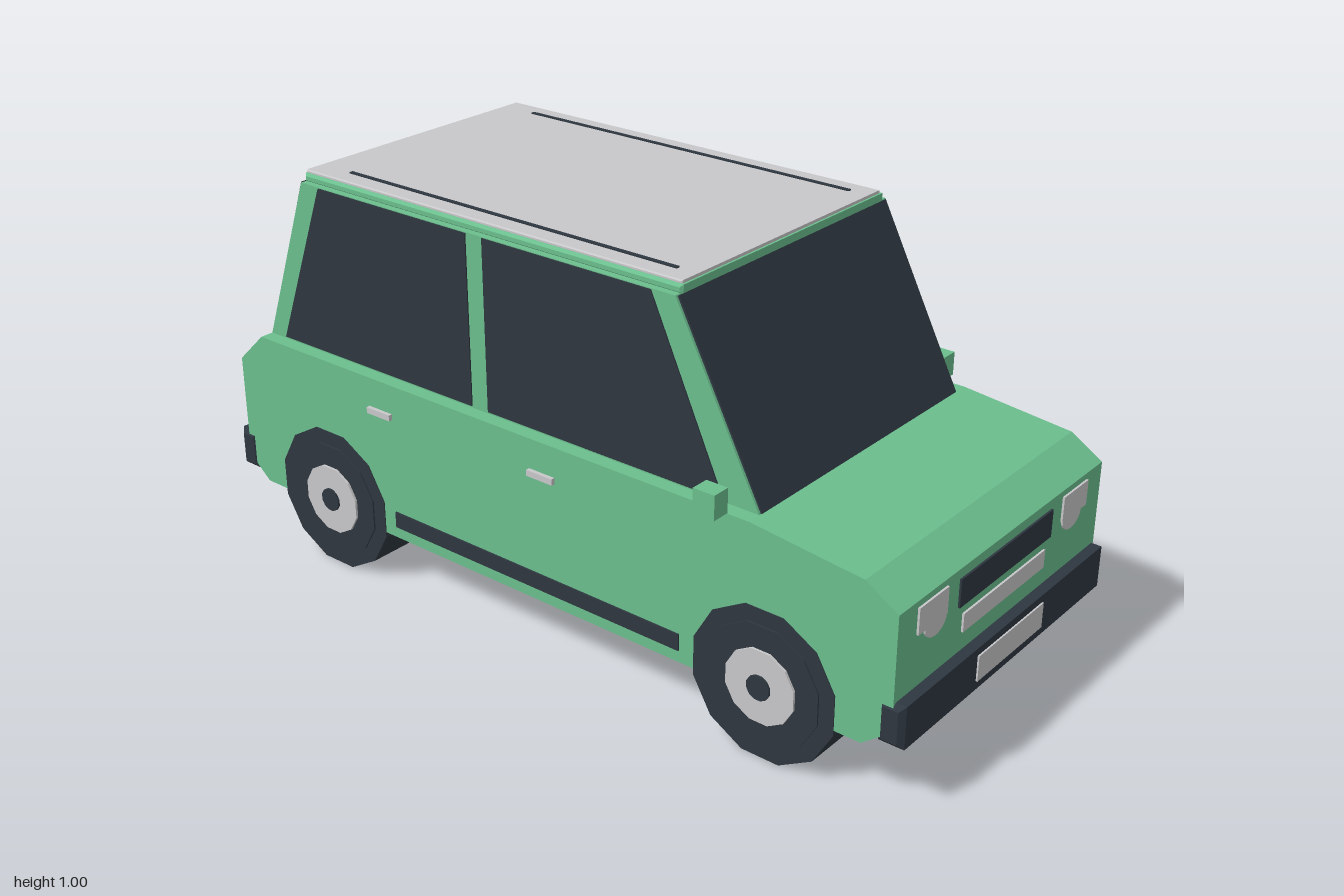
import * as THREE from 'three';

const material = (name, color) => {
  const m = new THREE.MeshStandardMaterial({ color, flatShading: true });
  m.name = name;
  return m;
};

export function createModel() {
  const car = new THREE.Group();
  car.name = 'car';
  const green = material('green paint', 0x6cbf8e);
  const dark = material('charcoal', 0x2e3740);
  const silver = material('light grey', 0xc8c8ca);
  const red = material('red lens', 0xb83a3a);

  const add = (name, geometry, mat, x = 0, y = 0, z = 0) => {
    const mesh = new THREE.Mesh(geometry, mat);
    mesh.name = name;
    mesh.position.set(x, y, z);
    car.add(mesh);
    return mesh;
  };
  const shapeOf = (pts) => new THREE.Shape(pts.map(([a, b]) => new THREE.Vector2(a, b)));
  // Side profile given as [z, y], extruded across x and centred; bevel stays inside the width
  const across = (pts, width, bevel = 0) => {
    const g = new THREE.ExtrudeGeometry(shapeOf(pts), {
      depth: width - 2 * bevel, bevelEnabled: bevel > 0, bevelSize: bevel,
      bevelThickness: bevel, bevelOffset: -bevel, bevelSegments: 1,
    });
    return g.translate(0, 0, bevel - width / 2).rotateY(-Math.PI / 2);
  };
  const slab = (z0, z1, y0, y1, width, bevel) =>
    across([[z0, y0], [z1, y0], [z1, y1], [z0, y1]], width, bevel);
  // Box from its limits
  const box = (name, mat, x0, x1, y0, y1, z0, z1) =>
    add(name, new THREE.BoxGeometry(x1 - x0, y1 - y0, z1 - z0), mat,
      (x0 + x1) / 2, (y0 + y1) / 2, (z0 + z1) / 2);

  // Lower body and cabin
  add('body', across([[-0.9, 0.145], [0.9, 0.145], [0.97, 0.2], [0.97, 0.47], [0.89, 0.52],
    [0.61, 0.55], [-0.88, 0.55], [-0.965, 0.47], [-0.965, 0.2]], 0.84), green);
  add('cabin', across([[-0.88, 0.55], [0.61, 0.55], [0.39, 0.972], [-0.725, 0.972]], 0.77), green);

  // Roof with light panel and rails
  add('roof', slab(-0.73, 0.395, 0.968, 0.99, 0.74, 0.006), green);
  add('roofPanel', slab(-0.73, 0.39, 0.985, 0.997, 0.724, 0.003), silver);

  // Windscreen and rear window lie on the sloping ends of the cabin
  const endWindow = (name, zLow, zHigh) => {
    const rise = 0.42, run = zHigh - zLow;
    const pane = add(name, new THREE.BoxGeometry(0.758, Math.hypot(rise, run), 0.008), dark,
      0, 0.76, (zLow + zHigh) / 2);
    pane.rotation.x = Math.atan2(run, rise);
  };
  endWindow('windscreen', 0.61, 0.392);
  endWindow('rearWindow', -0.88, -0.728);

  // Bumpers and number plates
  add('frontBumper', slab(0.935, 0.996, 0.165, 0.267, 0.846, 0.012), dark);
  add('rearBumper', slab(-0.996, -0.935, 0.165, 0.267, 0.846, 0.012), dark);
  box('frontPlate', silver, -0.137, 0.137, 0.187, 0.249, 0.993, 1);
  box('rearPlate', silver, -0.137, 0.137, 0.187, 0.249, -1, -0.993);

  // Grille and trim strip
  box('grille', dark, -0.191, 0.191, 0.38, 0.447, 0.967, 0.975);
  box('frontStrip', silver, -0.17, 0.17, 0.313, 0.357, 0.967, 0.975);

  const frontGlass = [[0.52, 0.555], [0.328, 0.97], [-0.142, 0.97], [-0.142, 0.555]];
  const rearGlass = [[-0.192, 0.555], [-0.192, 0.97], [-0.665, 0.97], [-0.825, 0.555]];

  for (const s of [1, -1]) {
    const side = s > 0 ? 'left' : 'right';
    const sideBox = (name, mat, x0, x1, ...rest) =>
      box(side + name, mat, Math.min(s * x0, s * x1), Math.max(s * x0, s * x1), ...rest);

    // Side windows
    add(side + 'FrontWindow', across(frontGlass, 0.006), dark, s * 0.385);
    add(side + 'RearWindow', across(rearGlass, 0.006), dark, s * 0.385);

    // Headlamp: square lens with a round lower lobe
    const lamp = new THREE.Shape();
    lamp.moveTo(s * 0.24, 0.455);
    lamp.lineTo(s * 0.35, 0.455);
    lamp.lineTo(s * 0.35, 0.393);
    lamp.lineTo(s * 0.325, 0.393);
    for (let i = 1; i < 10; i++) {
      const a = (i / 10) * Math.PI;
      lamp.lineTo(s * (0.284 + 0.041 * Math.cos(a)), 0.393 - 0.031 * Math.sin(a));
    }
    lamp.lineTo(s * 0.243, 0.393);
    lamp.lineTo(s * 0.24, 0.393);
    add(side + 'Headlamp', new THREE.ExtrudeGeometry(lamp, { depth: 0.008, bevelEnabled: false }),
      silver, 0, 0, 0.967);

    sideBox('TailLamp', red, 0.21, 0.365, 0.367, 0.432, -0.974, -0.963);
    sideBox('Mirror', green, 0.418, 0.463, 0.55, 0.608, 0.5, 0.555);
    sideBox('Sill', dark, 0.418, 0.424, 0.175, 0.216, -0.43, 0.435);
    sideBox('RoofRail', dark, 0.308, 0.318, 0.996, 1, -0.63, 0.34);
    sideBox('FrontHandle', silver, 0.418, 0.43, 0.461, 0.476, 0.01, 0.085);
    sideBox('RearHandle', silver, 0.418, 0.43, 0.461, 0.476, -0.5, -0.425);

    // Wheels: tyre, raised ring, hub and cap
    for (const [end, z] of [['Front', 0.655], ['Rear', -0.65]]) {
      const disc = (name, mat, r, x0, x1) => {
        const g = new THREE.CylinderGeometry(r, r, x1 - x0, 12);
        g.rotateY(Math.PI / 12).rotateZ(Math.PI / 2);
        add(side + end + name, g, mat, s * (x0 + x1) / 2, 0.18, z);
      };
      disc('Tyre', dark, 0.18 / Math.cos(Math.PI / 12), 0.295, 0.422);
      disc('TyreRing', dark, 0.148, 0.42, 0.426);
      disc('Hub', silver, 0.09, 0.42, 0.432);
      disc('HubCap', dark, 0.03, 0.42, 0.437);
    }
  }
  return car;
}
